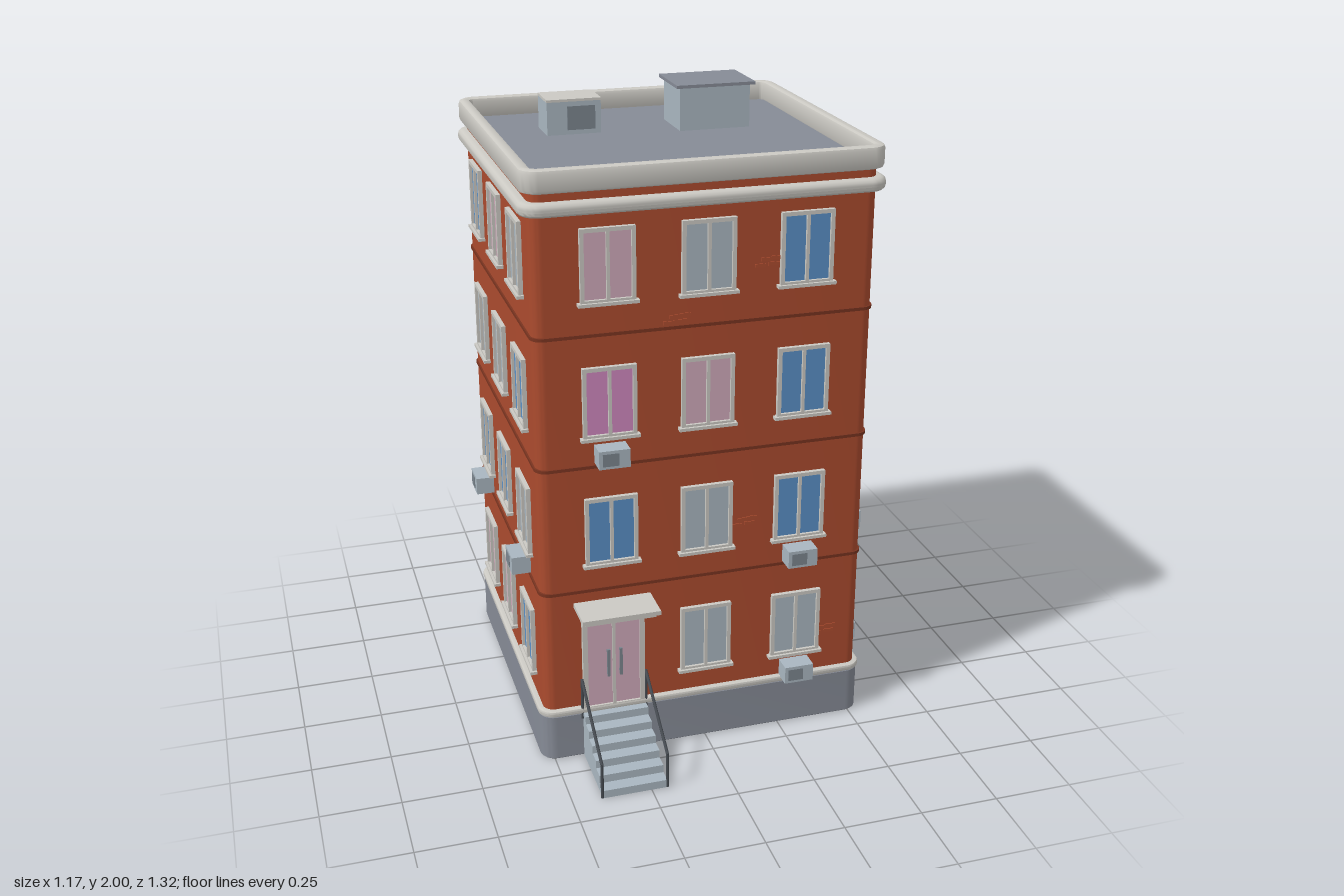
import * as THREE from 'three';
import { toCreasedNormals } from 'three/addons/utils/BufferGeometryUtils.js';

const paint = (name, color) => Object.assign(new THREE.MeshStandardMaterial({ color }), { name });

export function createModel() {
  const wall = paint('brick red', 0xab4b2e);
  const band = paint('dark brick', 0x7a3420);
  const trim = paint('off white', 0xcbc9c3);
  const stone = paint('slate grey', 0x868b96);
  const metal = paint('pale metal', 0xa9b6c0);
  const dark = paint('dark iron', 0x454a50);
  const vent = paint('vent grey', 0x7b858e);
  const blue = paint('blue glass', 0x5a8fc6);
  const pink = paint('pale pink glass', 0xd0a9ba);
  const magenta = paint('magenta glass', 0xcf88be);
  const glass = { b: blue, p: pink, m: magenta, g: metal };

  const model = new THREE.Group();
  model.name = 'apartmentBuilding';
  const CZ = -0.1, HX = 0.525, HZ = 0.5;

  const add = (parent, name, geo, mat, x = 0, y = 0, z = 0) => {
    const mesh = new THREE.Mesh(geo, mat);
    mesh.name = name;
    mesh.position.set(x, y, z);
    parent.add(mesh);
    return mesh;
  };
  const box = (parent, name, mat, w, h, d, x, y, z) =>
    add(parent, name, new THREE.BoxGeometry(w, h, d), mat, x, y, z);

  // rounded rectangle outline, used for every storey slab
  const outline = (target, hx, hz, r) => {
    target.absarc(hx - r, hz - r, r, 0, Math.PI / 2);
    target.absarc(-hx + r, hz - r, r, Math.PI / 2, Math.PI);
    target.absarc(-hx + r, -hz + r, r, Math.PI, Math.PI * 1.5);
    target.absarc(hx - r, -hz + r, r, Math.PI * 1.5, Math.PI * 2);
    target.closePath();
    return target;
  };
  // horizontal slab with a bevelled rim and an optional opening inset from its edge
  const slab = (name, mat, hx, hz, r, y0, y1, b = 0, segs = 1, inset = 0) => {
    const shape = outline(new THREE.Shape(), hx - b, hz - b, r);
    if (inset) shape.holes.push(outline(new THREE.Path(), hx - inset + b, hz - inset + b, 0.03));
    const geo = new THREE.ExtrudeGeometry(shape, {
      depth: y1 - y0 - 2 * b, curveSegments: 5, bevelEnabled: b > 0,
      bevelSize: b, bevelThickness: b, bevelSegments: segs,
    });
    geo.rotateX(-Math.PI / 2);
    return add(model, name, toCreasedNormals(geo, 0.6), mat, 0, y0 + b, CZ);
  };

  // main mass, plinth, mouldings and parapet
  slab('plinth', stone, 0.538, 0.513, 0.045, 0, 0.157, 0.004);
  slab('plinthTrim', trim, 0.543, 0.518, 0.045, 0.155, 0.177, 0.008, 2);
  slab('brickWalls', wall, HX, HZ, 0.035, 0.16, 1.848);
  for (const y of [0.585, 1.0, 1.415]) slab('floorBand', band, 0.53, 0.505, 0.038, y - 0.005, y + 0.005);
  slab('cornice', trim, 0.555, 0.53, 0.045, 1.778, 1.82, 0.018, 3);
  slab('parapet', trim, 0.548, 0.523, 0.045, 1.845, 1.915, 0.012, 2, 0.038);
  slab('roofDeck', stone, 0.52, 0.495, 0.03, 1.84, 1.853);

  // window frame with two panes
  const W = 0.165, H = 0.225, F = 0.012, M = 0.005;
  const rect = (t, x0, y0, x1, y1) => {
    t.moveTo(x0, y0); t.lineTo(x1, y0); t.lineTo(x1, y1); t.lineTo(x0, y1); t.closePath();
    return t;
  };
  const twinFrame = (w, h, f, d) => {
    const s = rect(new THREE.Shape(), -w / 2, -h / 2, w / 2, h / 2);
    s.holes.push(rect(new THREE.Path(), -w / 2 + f, -h / 2 + f, -M, h / 2 - f));
    s.holes.push(rect(new THREE.Path(), M, -h / 2 + f, w / 2 - f, h / 2 - f));
    return new THREE.ExtrudeGeometry(s, { depth: d, bevelEnabled: false });
  };
  const frameGeo = twinFrame(W, H, F, 0.014);

  const addWindow = (parent, mat, x, y) => {
    const g = new THREE.Group();
    g.name = 'window';
    g.position.set(x, y, 0);
    add(g, 'windowFrame', frameGeo, trim);
    box(g, 'windowPanes', mat, W - 0.01, H - 0.01, 0.006, 0, 0, 0.002);
    box(g, 'windowSill', trim, 0.182, 0.01, 0.022, 0, -H / 2, 0.011);
    parent.add(g);
  };
  const addCooler = (parent, x, y) => {
    const g = new THREE.Group();
    g.name = 'airConditioner';
    g.position.set(x, y, 0);
    box(g, 'coolerCase', metal, 0.096, 0.058, 0.06, 0, 0, 0.03);
    box(g, 'coolerGrille', vent, 0.05, 0.04, 0.003, -0.012, 0, 0.0605);
    parent.add(g);
  };

  // four walls: pane colours from top floor down, left to right as seen from outside
  const rowY = (r) => 1.625 - r * 0.42;
  const sides = [
    { name: 'frontWall', turn: 0, dist: HZ, rows: ['pgb', 'mpb', 'bgb', ' gg'], coolers: [[1, 0], [2, 2], [3, 2]] },
    { name: 'leftWall', turn: Math.PI / 2, dist: HX, rows: ['bpp', 'gbb', 'bbb', 'gmg'], coolers: [[0, 1], [2, 0], [3, 0]] },
    { name: 'backWall', turn: Math.PI, dist: HZ, rows: ['bbb', 'bpb', 'bbb', 'gmm'], coolers: [[2, 1], [3, 0]] },
    { name: 'rightWall', turn: -Math.PI / 2, dist: HX, rows: ['bpg', 'ggb', 'bbg', 'ppb'], coolers: [[2, 0], [2, 2]] },
  ];
  for (const { name, turn, dist, rows, coolers } of sides) {
    const g = new THREE.Group();
    g.name = name;
    g.rotation.y = turn;
    g.position.set(Math.sin(turn) * dist, 0, CZ + Math.cos(turn) * dist);
    rows.forEach((row, r) => [...row].forEach((c, i) => {
      if (glass[c]) addWindow(g, glass[c], (i - 1) * 0.303, rowY(r));
    }));
    for (const [r, i] of coolers) addCooler(g, (i - 1) * 0.303, rowY(r) - 0.163);
    model.add(g);
  }

  // small clusters of raised bricks on the front
  const front = CZ + HZ;
  for (const [x, y] of [[-0.1, 1.43], [0.18, 1.58], [0.12, 0.74], [0.4, 0.31]]) {
    for (const [dx, dy] of [[-0.02, 0], [0.022, 0.003], [0, 0.018], [0.03, 0.021]]) {
      box(model, 'raisedBrick', wall, 0.034, 0.011, 0.006, x + dx, y + dy, front);
    }
  }

  // entrance: door, handles and canopy
  const DX = -0.303;
  const door = new THREE.Group();
  door.name = 'entrance';
  door.position.set(DX, 0, front);
  add(door, 'doorFrame', twinFrame(0.2, 0.34, 0.016, 0.016), trim, 0, 0.33, 0);
  box(door, 'doorLeaves', pink, 0.185, 0.33, 0.012, 0, 0.328, 0.004);
  for (const s of [-1, 1]) {
    box(door, 'doorHandle', vent, 0.009, 0.095, 0.008, s * 0.02, 0.332, 0.024);
    for (const y of [0.295, 0.369]) box(door, 'handleMount', vent, 0.006, 0.008, 0.016, s * 0.02, y, 0.016);
  }
  box(door, 'canopySoffit', trim, 0.222, 0.012, 0.11, 0, 0.528, 0.055);
  box(door, 'canopyTop', trim, 0.246, 0.014, 0.122, 0, 0.54, 0.061);
  model.add(door);

  // stepped stair block
  const N = 6, Z0 = 0.4, Z1 = 0.655, TOP = 0.158;
  const steps = new THREE.Shape();
  steps.moveTo(Z0, 0);
  steps.lineTo(Z1, 0);
  for (let i = 0; i < N; i++) {
    const z = Z1 - (i * (Z1 - Z0)) / N, y = ((i + 1) * TOP) / N;
    steps.lineTo(z, y);
    steps.lineTo(z - (Z1 - Z0) / N, y);
  }
  const stairGeo = new THREE.ExtrudeGeometry(steps, { depth: 0.205, bevelEnabled: false });
  stairGeo.rotateY(-Math.PI / 2);
  add(model, 'stairs', stairGeo, metal, DX + 0.1025, 0, 0);

  // handrails on both sides of the stair
  const rod = (a, b) => {
    const from = new THREE.Vector3(...a), to = new THREE.Vector3(...b);
    const dir = to.clone().sub(from);
    const mesh = add(model, 'handrail', new THREE.CylinderGeometry(0.005, 0.005, dir.length() + 0.006, 8), dark);
    mesh.position.copy(from).add(to).multiplyScalar(0.5);
    mesh.quaternion.setFromUnitVectors(new THREE.Vector3(0, 1, 0), dir.normalize());
  };
  for (const s of [-1, 1]) {
    const x = DX + s * 0.104;
    rod([x, 0.004, 0.652], [x, 0.12, 0.652]);
    rod([x, 0.12, 0.652], [x, 0.275, 0.412]);
    rod([x, 0.14, 0.412], [x, 0.275, 0.412]);
  }

  // rooftop stair hut and vent box
  box(model, 'roofHut', metal, 0.232, 0.145, 0.18, 0.21, 1.918, -0.283);
  box(model, 'roofHutLid', stone, 0.26, 0.01, 0.207, 0.21, 1.995, -0.283);
  box(model, 'ventBox', metal, 0.174, 0.11, 0.128, -0.238, 1.903, -0.31);
  box(model, 'ventBoxTop', trim, 0.176, 0.008, 0.13, -0.238, 1.961, -0.31);
  box(model, 'ventBoxGrille', vent, 0.09, 0.075, 0.004, -0.215, 1.905, -0.245);

  return model;
}
